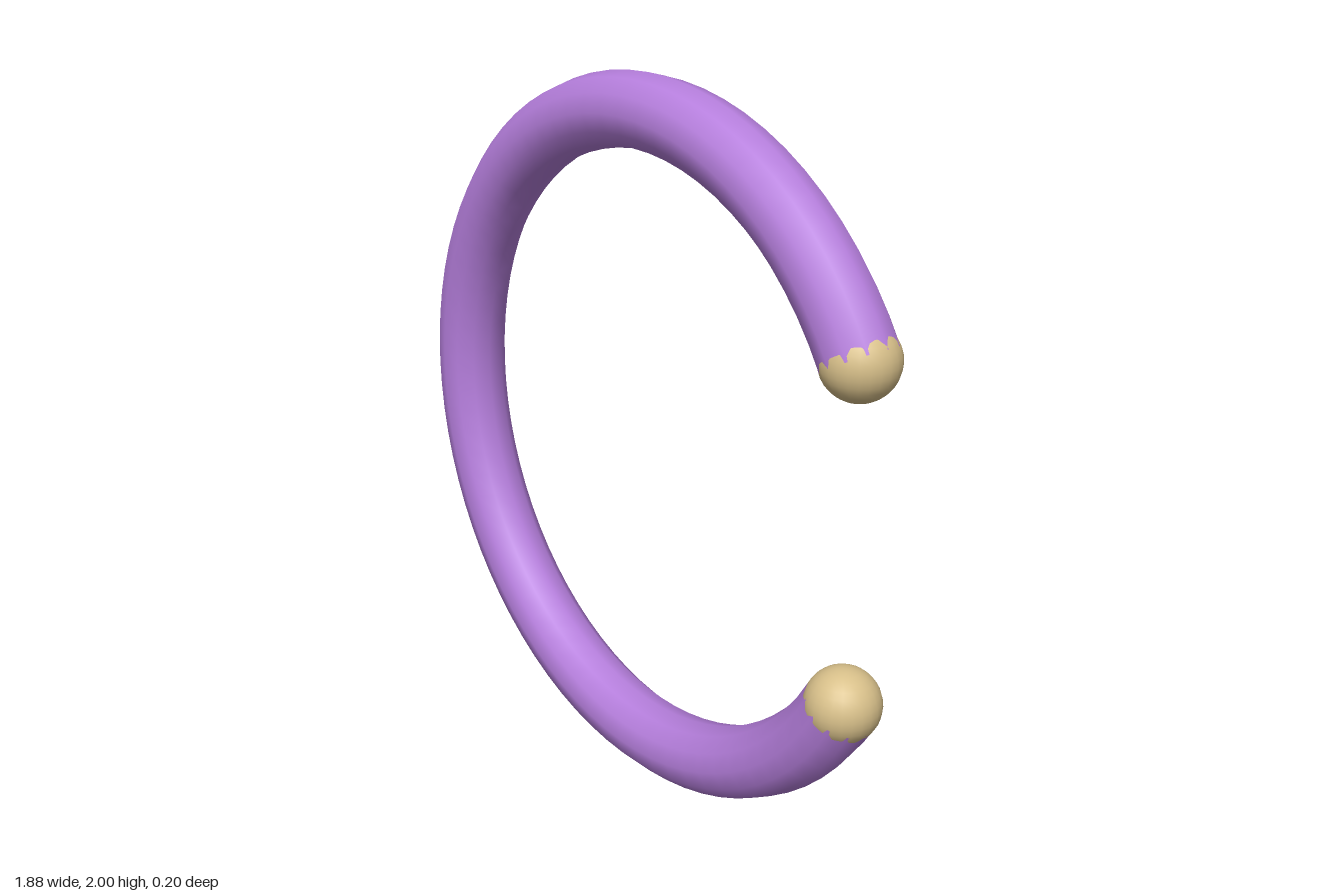
import * as THREE from 'three';

export function createModel() {
  const group = new THREE.Group();
  const purple = new THREE.MeshStandardMaterial({ color: 0xb57edc });
  purple.name = 'purple';
  const gold = new THREE.MeshStandardMaterial({ color: 0xd8c08a });
  gold.name = 'pale gold';

  const R = 0.9, r = 0.1, gap = Math.PI / 6;
  const cx = (1 - (R * Math.cos(gap) + r)) / 2; // centres the open ring on x

  // open ring, with its gap towards +x
  const ring = new THREE.Mesh(
    new THREE.TorusGeometry(R, r, 12, 64, Math.PI * 2 - gap * 2).rotateZ(gap), purple);
  ring.name = 'ring';
  ring.position.set(cx, 1, 0);
  group.add(ring);

  // ball on each end of the ring
  for (const side of [1, -1]) {
    const ball = new THREE.Mesh(new THREE.SphereGeometry(r, 24, 16), gold);
    ball.name = side > 0 ? 'upperEndBall' : 'lowerEndBall';
    ball.position.set(cx + R * Math.cos(gap), 1 + side * R * Math.sin(gap), 0);
    group.add(ball);
  }
  return group;
}
